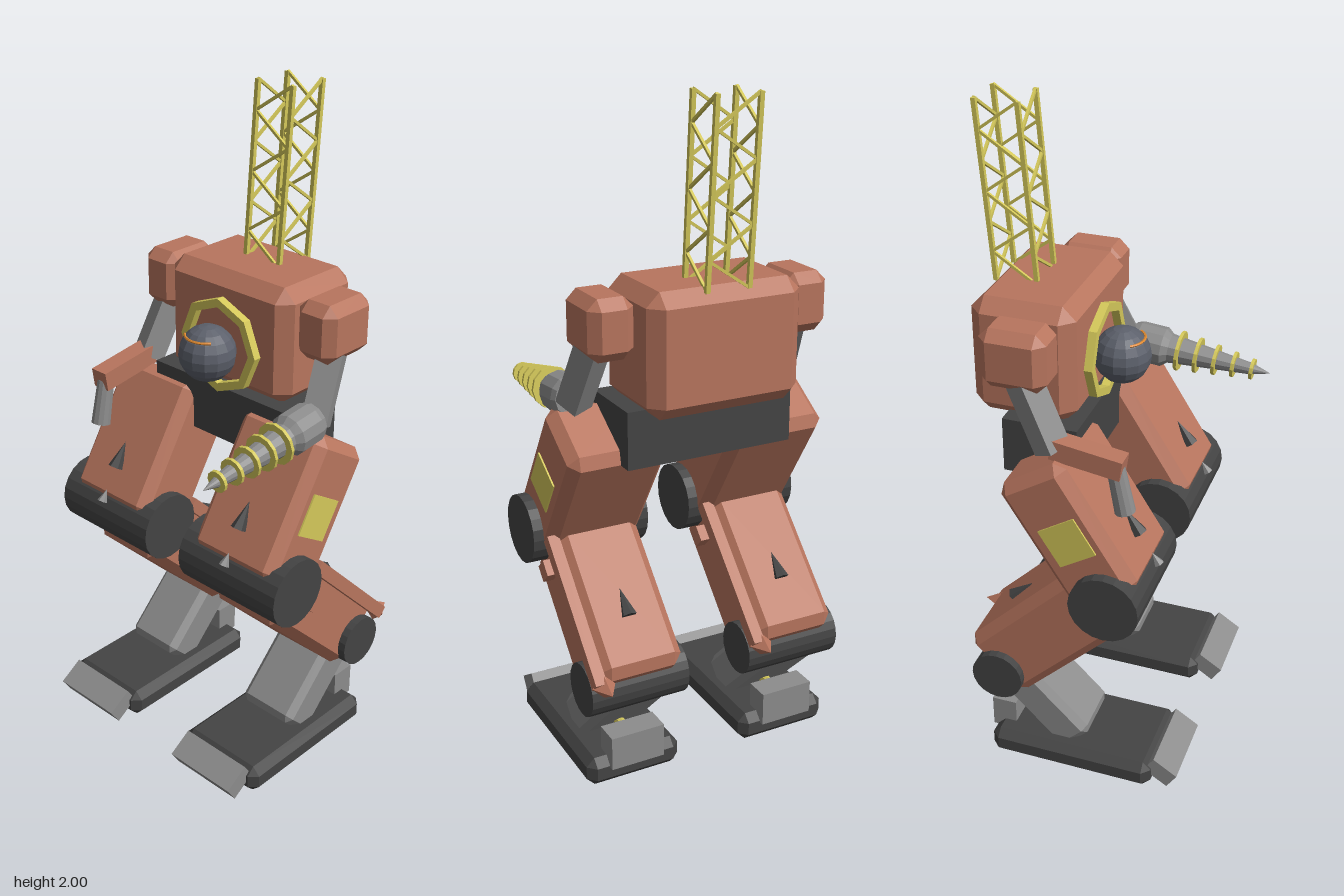
import * as THREE from 'three';
import { ConvexGeometry } from 'three/addons/geometries/ConvexGeometry.js';

const paint = (color) => new THREE.MeshStandardMaterial({ color, flatShading: true });
const copper = paint(0xb8755e), dark = paint(0x444444), grey = paint(0x8c8c8c);
const yellow = paint(0xd4c85a), steel = paint(0x5c606b), orange = paint(0xe08a30);

function add(parent, name, geometry, material, pos = [0, 0, 0], rot = [0, 0, 0]) {
  const mesh = new THREE.Mesh(geometry, material);
  mesh.name = name;
  mesh.position.set(...pos);
  mesh.rotation.set(...rot);
  parent.add(mesh);
  return mesh;
}

function group(parent, name, pos = [0, 0, 0], rotX = 0) {
  const g = new THREE.Group();
  g.name = name;
  g.position.set(...pos);
  g.rotation.x = rotX;
  parent.add(g);
  return g;
}

// Box with every edge cut off at 45 degrees
function bevelBox(w, h, d, c) {
  const points = [];
  for (const sx of [-1, 1]) for (const sy of [-1, 1]) for (const sz of [-1, 1])
    for (let k = 0; k < 3; k++)
      points.push(new THREE.Vector3(
        sx * (w / 2 - (k === 0 ? 0 : c)),
        sy * (h / 2 - (k === 1 ? 0 : c)),
        sz * (d / 2 - (k === 2 ? 0 : c))));
  return new ConvexGeometry(points);
}

const box = (w, h, d) => new THREE.BoxGeometry(w, h, d);

// Square bar between two points
function beam(parent, name, a, b, w, material) {
  const from = new THREE.Vector3(...a), to = new THREE.Vector3(...b);
  const dir = to.clone().sub(from);
  const mesh = add(parent, name, box(w, dir.length(), w), material);
  mesh.position.copy(from).lerp(to, 0.5);
  mesh.quaternion.setFromUnitVectors(new THREE.Vector3(0, 1, 0), dir.normalize());
  return mesh;
}

function buildTorso(root) {
  const torso = group(root, 'torso');
  add(torso, 'chest', bevelBox(0.47, 0.355, 0.31, 0.04), copper, [0, 1.317, -0.195]);
  add(torso, 'pelvis', box(0.52, 0.17, 0.225), dark, [0, 1.065, -0.1325]);

  // Octagonal collar around the head
  const octagon = (Type, r) => {
    const path = new Type();
    for (let i = 0; i < 8; i++) {
      const a = i * Math.PI / 4;
      path[i ? 'lineTo' : 'moveTo'](r * Math.cos(a), r * Math.sin(a));
    }
    path.closePath();
    return path;
  };
  const collar = octagon(THREE.Shape, 0.146);
  collar.holes.push(octagon(THREE.Path, 0.12));
  add(torso, 'headCollar', new THREE.ExtrudeGeometry(collar, { depth: 0.025, bevelEnabled: false }),
    yellow, [0, 1.28, -0.04]);

  add(torso, 'head', new THREE.SphereGeometry(0.085, 14, 10), steel, [0, 1.272, 0.025]);
  add(torso, 'visor', new THREE.TorusGeometry(0.065, 0.004, 5, 14, 1.85), orange,
    [0, 1.328, 0.025], [Math.PI / 2, 0, Math.PI / 2 - 0.925]);
}

// Leaning four-post lattice tower
function buildMast(root) {
  const mast = group(root, 'mast');
  const corners = [[-1, 0], [1, 0], [1, 1], [-1, 1]];
  const at = ([sx, back], t) => [sx * 0.064, 1.48 + 0.518 * t, -0.205 - 0.125 * back - 0.041 * t];
  const steps = 6;
  corners.forEach((corner, i) => {
    beam(mast, 'mastPost', at(corner, 0), at(corner, 1), 0.013, yellow);
    const next = corners[(i + 1) % 4];
    for (let k = 0; k < steps; k++) {
      const [a, b] = k % 2 ? [corner, next] : [next, corner];
      beam(mast, 'mastBrace', at(a, k / steps), at(b, (k + 1) / steps), 0.008, yellow);
    }
  });
}

function buildArms(root) {
  for (const side of [-1, 1]) {
    const arm = group(root, side > 0 ? 'leftArm' : 'rightArm');
    add(arm, 'shoulder', bevelBox(0.135, 0.175, 0.195, 0.03), copper, [side * 0.3025, 1.388, -0.168]);
    beam(arm, 'upperArm', [side * 0.315, 1.33, -0.155], [side * 0.338, 1.13, -0.06], 0.075, grey);
  }

  // Gun on the right forearm
  const gunArm = root.getObjectByName('rightArm');
  beam(gunArm, 'forearm', [-0.336, 1.145, -0.06], [-0.336, 1.115, 0.145], 0.06, copper);
  add(gunArm, 'gunBarrel', new THREE.CylinderGeometry(0.026, 0.03, 0.14, 12), grey,
    [-0.336, 1.04, 0.135], [-0.2, 0, 0]);

  // Drill on the left forearm
  const drill = group(root.getObjectByName('leftArm'), 'drill', [0.334, 1.145, -0.05], Math.PI / 2 + 0.1);
  const profile = [[0, 0], [0.055, 0], [0.062, 0.02], [0.062, 0.1], [0.046, 0.12],
    [0.018, 0.38], [0.0005, 0.44]].map(([r, y]) => new THREE.Vector2(r, y));
  add(drill, 'drillBit', new THREE.LatheGeometry(profile, 12), grey);
  for (let i = 0; i < 5; i++) {
    const r = 0.063 - 0.0077 * i;
    add(drill, 'drillRing', new THREE.CylinderGeometry(r, r, 0.01, 12), yellow, [0, 0.152 + 0.058 * i, 0]);
  }
}

function buildLeg(root, side) {
  const leg = group(root, side > 0 ? 'leftLeg' : 'rightLeg', [side * 0.257, 0, 0]);
  const spike = () => new THREE.ConeGeometry(0.024, 0.085, 6);
  const drum = (r, length) => new THREE.CylinderGeometry(r, r, length, 20);

  // Thigh, with side panel and spikes
  const thigh = group(leg, 'thigh', [0, 0.88, 0], -0.56);
  add(thigh, 'thighShell', bevelBox(0.31, 0.446, 0.233, 0.03), copper);
  add(thigh, 'thighPanel', box(0.008, 0.125, 0.125), yellow, [side * 0.156, 0, 0.005]);
  add(thigh, 'thighSpike', spike(), dark, [0, -0.07, 0.125]);
  add(thigh, 'thighStud', new THREE.ConeGeometry(0.016, 0.04, 6), grey, [0, -0.205, 0.125]);
  add(leg, 'knee', drum(0.105, 0.373), dark, [0, 0.695, 0.118], [0, 0, Math.PI / 2]);

  // Shin, with a rail along its left side
  const shin = group(leg, 'shin', [0, 0.49, -0.095], Math.PI / 4);
  add(shin, 'shinShell', bevelBox(0.26, 0.474, 0.24, 0.03), copper);
  add(shin, 'shinRail', box(0.035, 0.46, 0.04), copper, [0.142, -0.015, -0.095]);
  add(shin, 'railSpike', new THREE.ConeGeometry(0.036, 0.06, 4), copper,
    [0.128, -0.265, -0.11], [-Math.PI * 0.75, 0, 0]);
  add(shin, 'shinLug', box(0.045, 0.05, 0.05), copper, [0.14, 0.15, 0]);
  add(shin, 'shinSpike', spike(), dark, [0, -0.03, -0.122]);
  add(leg, 'ankleDrum', drum(0.08, 0.31), dark, [0, 0.325, -0.235], [0, 0, Math.PI / 2]);

  // Foot
  add(leg, 'ankle', bevelBox(0.2, 0.34, 0.135, 0.02), grey, [0, 0.2, -0.125], [-Math.PI / 4, 0, 0]);
  add(leg, 'heel', box(0.17, 0.105, 0.078), grey, [0, 0.113, -0.247]);
  add(leg, 'heelRod', new THREE.CylinderGeometry(0.015, 0.015, 0.12, 8), yellow,
    [0, 0.13, -0.18], [Math.PI / 2, 0, 0]);
  add(leg, 'sole', bevelBox(0.3, 0.09, 0.52, 0.025), dark, [0, 0.045, -0.01]);
  add(leg, 'toe', box(0.238, 0.058, 0.088), grey, [0, 0.057, 0.278], [0.57, 0, 0]);
}

export function createModel() {
  const root = new THREE.Group();
  root.name = 'walkingRobot';
  buildTorso(root);
  buildMast(root);
  buildArms(root);
  for (const side of [-1, 1]) buildLeg(root, side);
  return root;
}
